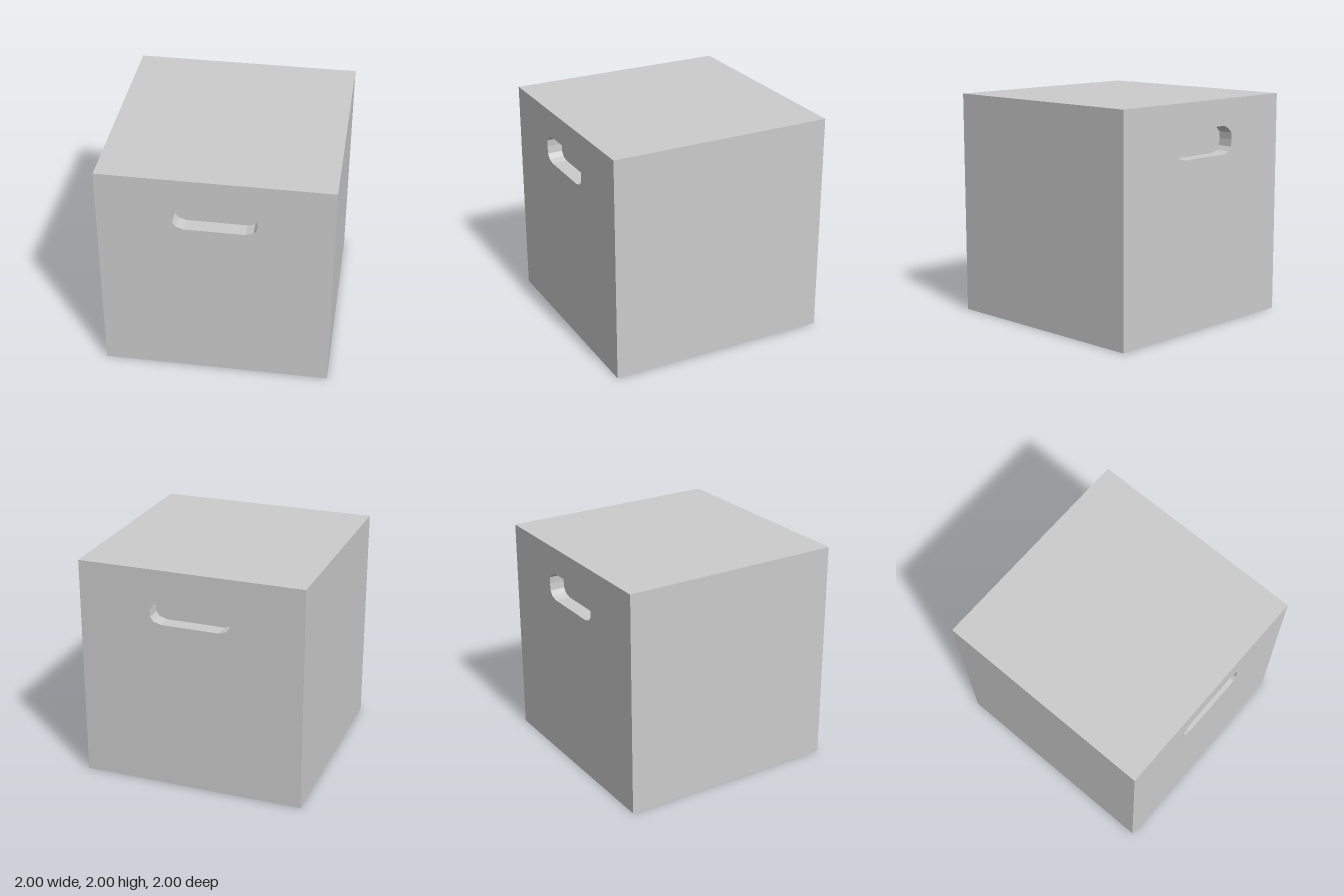
import * as THREE from 'three';

const SIZE = 2, HALF = SIZE / 2, DEPTH = 0.135;

// Right half of the handle outline, bottom to top
const HALF_OUTLINE = [
  [0.26, 1.515], [0.325, 1.535], [0.355, 1.575], [0.36, 1.64],
  [0.355, 1.7], [0.32, 1.735], [0.26, 1.765],
];

export function createModel() {
  const material = new THREE.MeshStandardMaterial({ color: 0xcccccc, flatShading: true });
  const model = new THREE.Group();
  model.name = 'storageBox';

  const add = (parent, name, geometry) => {
    const mesh = new THREE.Mesh(geometry, material);
    mesh.name = name;
    parent.add(mesh);
    return mesh;
  };

  // Counter-clockwise handle outline, mirrored across x = 0
  const outline = [
    ...HALF_OUTLINE.map(([x, y]) => new THREE.Vector2(x, y)),
    ...HALF_OUTLINE.map(([x, y]) => new THREE.Vector2(-x, y)).reverse(),
  ];

  // Wall of the recess, facing inward
  const wallGeometry = () => {
    const positions = [];
    const front = HALF, back = HALF - DEPTH;
    outline.forEach((a, i) => {
      const b = outline[(i + 1) % outline.length];
      positions.push(
        a.x, a.y, front, b.x, b.y, front, b.x, b.y, back,
        a.x, a.y, front, b.x, b.y, back, a.x, a.y, back,
      );
    });
    const geometry = new THREE.BufferGeometry();
    geometry.setAttribute('position', new THREE.Float32BufferAttribute(positions, 3));
    geometry.computeVertexNormals();
    return geometry;
  };

  // Front and back panels, each with a blind handle recess
  for (const [name, turn] of [['front', 0], ['back', Math.PI]]) {
    const side = new THREE.Group();
    side.name = name + 'Side';
    side.rotation.y = turn;

    const face = new THREE.Shape([
      new THREE.Vector2(-HALF, 0), new THREE.Vector2(HALF, 0),
      new THREE.Vector2(HALF, SIZE), new THREE.Vector2(-HALF, SIZE),
    ]);
    face.holes.push(new THREE.Path(outline));
    add(side, name + 'Panel', new THREE.ShapeGeometry(face).translate(0, 0, HALF));
    add(side, name + 'HandleWall', wallGeometry());
    add(side, name + 'HandleFloor',
      new THREE.ShapeGeometry(new THREE.Shape(outline)).translate(0, 0, HALF - DEPTH));
    model.add(side);
  }

  // Plain left, right, top and bottom panels
  const panels = [
    ['leftPanel', 0, Math.PI / 2], ['rightPanel', 0, -Math.PI / 2],
    ['topPanel', -Math.PI / 2, 0], ['bottomPanel', Math.PI / 2, 0],
  ];
  for (const [name, rx, ry] of panels) {
    const geometry = new THREE.PlaneGeometry(SIZE, SIZE).translate(0, 0, HALF);
    const panel = add(model, name, geometry);
    panel.rotation.set(rx, ry, 0);
    panel.position.y = HALF;
  }

  return model;
}
